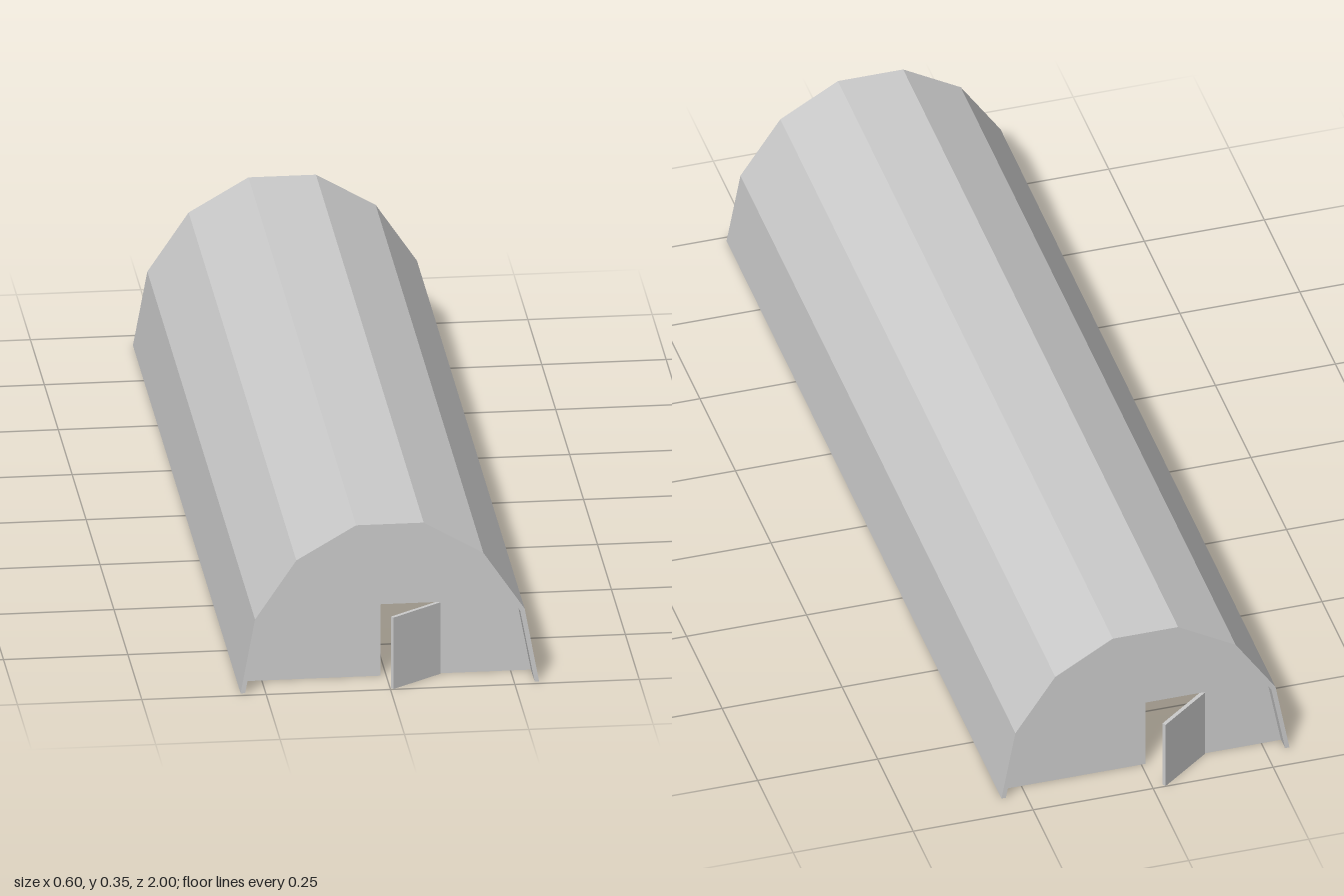
import * as THREE from 'three';

const material = new THREE.MeshStandardMaterial({ color: 0xcccccc, flatShading: true, side: THREE.DoubleSide });

// Right half of the faceted arch, from the ground to the roof
const OUTER = [[0.3, 0], [0.271, 0.157], [0.188, 0.28], [0.068, 0.35]];
const INNER = [[0.291, 0], [0.262, 0.153], [0.182, 0.272], [0.066, 0.339]];
const DOOR = { left: -0.13, right: 0.108, height: 0.153, thickness: 0.008 };

const fullArch = (half) => [...half, ...half.slice().reverse().map(([x, y]) => [-x, y])];
const toShape = (points) => new THREE.Shape(points.map(([x, y]) => new THREE.Vector2(x, y)));

function extrude(name, points, zMin, zMax) {
  const geometry = new THREE.ExtrudeGeometry(toShape(points), { depth: zMax - zMin, bevelEnabled: false });
  geometry.translate(0, 0, zMin);
  const mesh = new THREE.Mesh(geometry, material);
  mesh.name = name;
  return mesh;
}

// Door leaf standing between two floor points
function leaf(name, x1, z1, x2, z2) {
  const mesh = new THREE.Mesh(
    new THREE.BoxGeometry(Math.hypot(x2 - x1, z2 - z1), DOOR.height, DOOR.thickness), material);
  mesh.position.set((x1 + x2) / 2, DOOR.height / 2, (z1 + z2) / 2);
  mesh.rotation.y = -Math.atan2(z2 - z1, x2 - x1);
  mesh.name = name;
  return mesh;
}

// End wall filling the arch, with a doorway notched into its base.
// flip mirrors the doorway from side to side.
function wallOutline(flip) {
  const [a, b] = flip ? [-DOOR.right, -DOOR.left] : [DOOR.left, DOOR.right];
  return [...fullArch(INNER), [a, 0], [a, DOOR.height], [b, DOOR.height], [b, 0]];
}

export function createModel() {
  const group = new THREE.Group();
  group.name = 'tunnelShelter';

  // Thin arched shell, open underneath
  group.add(extrude('shell', [...fullArch(OUTER), ...fullArch(INNER).reverse()], -0.946, 0.988));

  // Recessed end walls
  group.add(extrude('frontWall', wallOutline(false), 0.908, 0.922));
  group.add(extrude('backWall', wallOutline(false), -0.917, -0.903));

  // Each end has one closed leaf and one leaf swung outwards
  group.add(leaf('frontClosedDoor', -0.13, 0.918, -0.011, 0.918));
  group.add(leaf('frontOpenDoor', 0.107, 0.921, 0.004, 0.995));
  group.add(leaf('backClosedDoor', 0.108, -0.913, -0.009, -0.913));
  group.add(leaf('backOpenDoor', -0.129, -0.916, -0.024, -0.996));

  return group;
}
